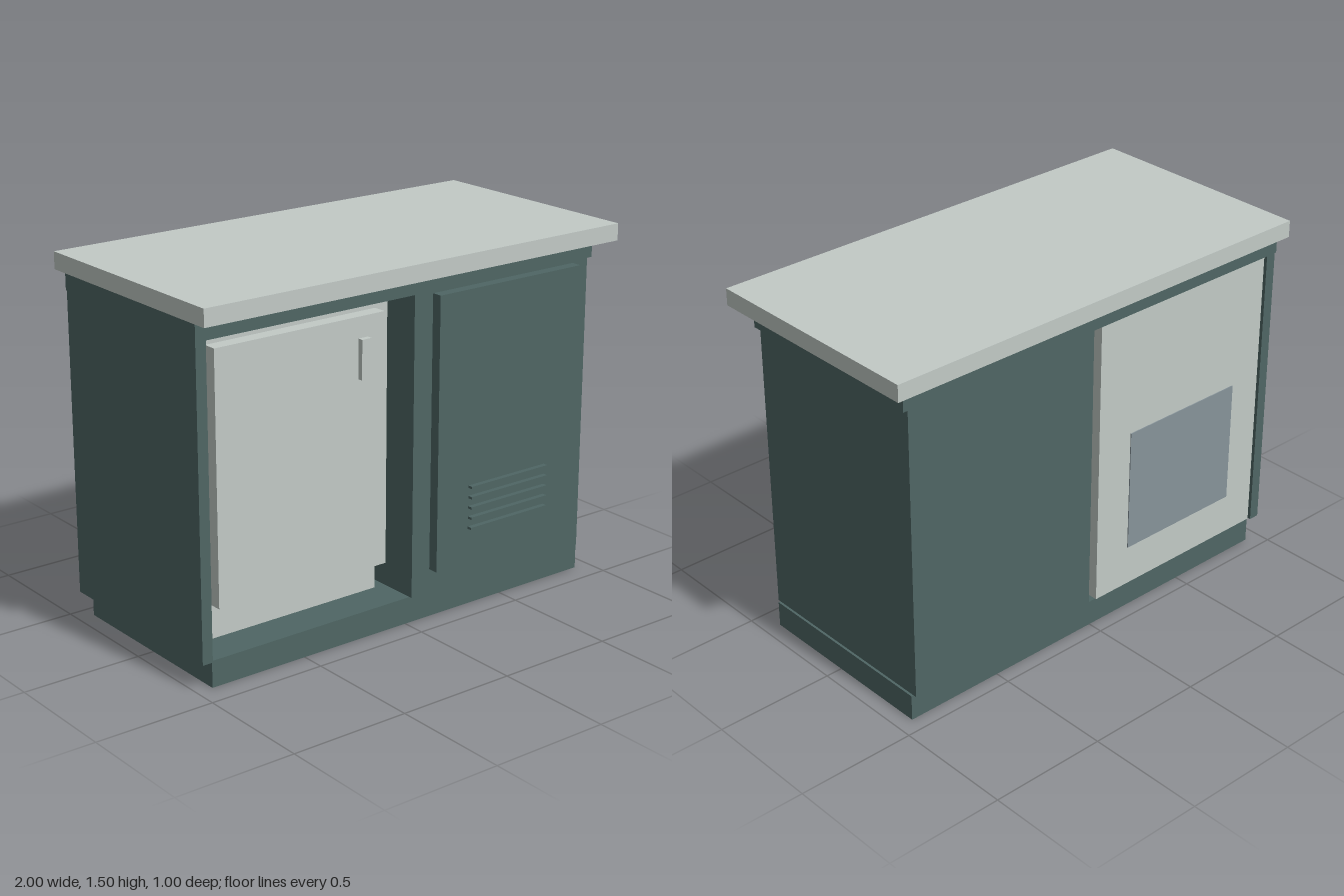
import * as THREE from 'three';

export function createModel() {
  const group = new THREE.Group();
  const paint = (name, color) => {
    const m = new THREE.MeshStandardMaterial({ color });
    m.name = name;
    return m;
  };
  const paleGrey = paint('pale grey', 0xc2cac6);
  const teal = paint('dark teal', 0x4f6664);
  const slate = paint('slate grey', 0x87949a);

  // Box given by its extents along each axis
  const box = (name, material, [x0, x1], [y0, y1], [z0, z1]) => {
    const mesh = new THREE.Mesh(new THREE.BoxGeometry(x1 - x0, y1 - y0, z1 - z0), material);
    mesh.position.set((x0 + x1) / 2, (y0 + y1) / 2, (z0 + z1) / 2);
    mesh.name = name;
    group.add(mesh);
  };

  // Counter frame
  const body = [0.11, 1.353];
  box('plinth', teal, [-0.93, 0.93], [0, 0.11], [-0.435, 0.4]);
  box('sidePanel', teal, [-0.98, -0.935], body, [-0.45, 0.413]);
  box('topRail', teal, [-0.98, 0.945], [1.353, 1.43], [-0.457, 0.413]);
  box('worktop', paleGrey, [-1, 1], [1.43, 1.5], [-0.5, 0.5]);

  // Closed cupboard with raised door
  box('cupboard', teal, [0.02, 0.92], body, [-0.45, 0.413]);
  box('cupboardDoor', teal, [0.11, 0.84], [0.21, 1.345], [0.413, 0.457]);

  // Vent slats on the cupboard door
  for (let i = 0; i < 5; i++) {
    const y = 0.362 + i * 0.0435;
    box('ventSlat', teal, [0.27, 0.675], [y - 0.005, y + 0.005], [0.457, 0.478]);
  }

  // Fridge set between the side panel and the cupboard
  box('fridgeBody', paleGrey, [-0.93, -0.03], body, [-0.44, 0.24]);
  box('fridgeDoor', paleGrey, [-0.93, -0.03], [0.24, 1.353], [0.24, 0.31]);
  box('fridgeDoorPanel', paleGrey, [-0.87, -0.09], [0.29, 1.3], [0.31, 0.367]);
  box('fridgeHandle', paleGrey, [-0.215, -0.17], [1.055, 1.215], [0.367, 0.39]);
  box('fridgeBackPlate', slate, [-0.78, -0.2], [0.285, 0.815], [-0.444, -0.44]);

  return group;
}
